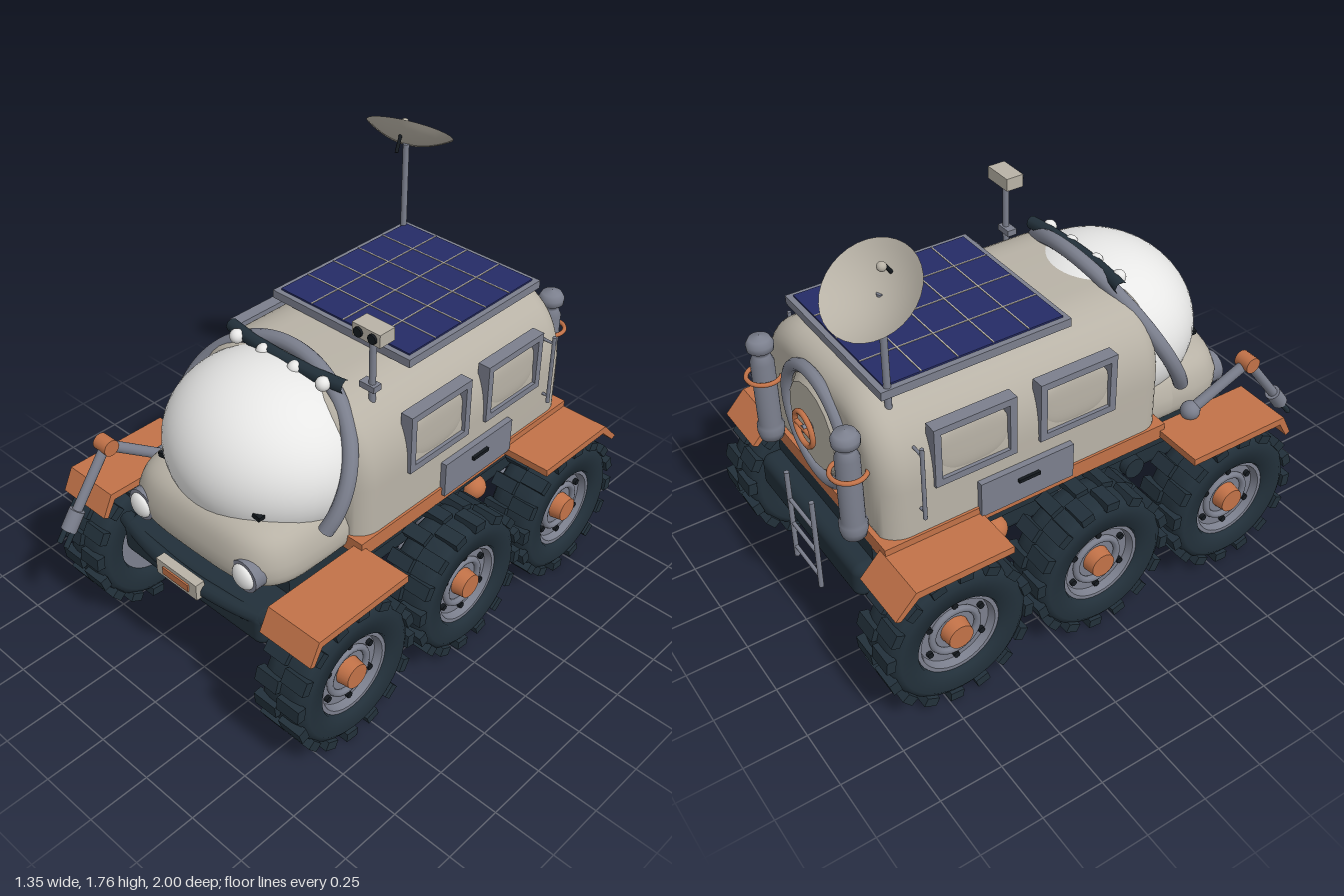
import * as THREE from 'three';
import { toCreasedNormals } from 'three/addons/utils/BufferGeometryUtils.js';
import { RoundedBoxGeometry } from 'three/addons/geometries/RoundedBoxGeometry.js';

const paint = (name, color, side = THREE.FrontSide) => {
  const m = new THREE.MeshStandardMaterial({ color, side });
  m.name = name;
  return m;
};
const V = (x, y, z) => new THREE.Vector3(x, y, z);

export function createModel() {
  const hull = paint('warm grey hull', 0xb8b2a6, THREE.DoubleSide);
  const white = paint('white canopy', 0xe9e9e8);
  const orange = paint('orange trim', 0xc27248);
  const steel = paint('blue grey metal', 0x7b7f8d);
  const dark = paint('dark rubber', 0x22303a);
  const black = paint('black detail', 0x14191e);
  const blue = paint('solar blue', 0x252c66);
  const root = new THREE.Group();

  const add = (name, geo, mat, x = 0, y = 0, z = 0, parent = root) => {
    const m = new THREE.Mesh(geo, mat);
    m.name = name;
    m.position.set(x, y, z);
    parent.add(m);
    return m;
  };
  const box = (name, w, h, d, mat, x, y, z, parent) => add(name, new THREE.BoxGeometry(w, h, d), mat, x, y, z, parent);
  const ball = (name, r, mat, x, y, z, parent) => add(name, new THREE.SphereGeometry(r, 20, 14), mat, x, y, z, parent);
  const rod = (name, a, b, r, mat, parent, r2 = r) => {
    const m = add(name, new THREE.CylinderGeometry(r2, r, a.distanceTo(b), 16), mat, 0, 0, 0, parent);
    m.position.copy(a).lerp(b, 0.5);
    m.quaternion.setFromUnitVectors(V(0, 1, 0), b.clone().sub(a).normalize());
    return m;
  };
  // Extrudes a (z, y) outline across x0..x1
  const slab = (name, pts, x0, x1, mat, hole) => {
    const s = new THREE.Shape(pts.map(p => new THREE.Vector2(...p)));
    if (hole) s.holes.push(new THREE.Path(hole.map(p => new THREE.Vector2(...p))));
    const g = new THREE.ExtrudeGeometry(s, { depth: x1 - x0, bevelEnabled: false });
    g.rotateY(-Math.PI / 2).translate(x1, 0, 0);
    return add(name, g, mat);
  };
  const rect = (z0, z1, y0, y1) => [[z0, y0], [z1, y0], [z1, y1], [z0, y1]];
  // Squared-off ellipsoid, narrowing towards its top
  const pillow = (rx, ry, rz, e, taper = 0) => {
    const g = new THREE.SphereGeometry(1, 48, 32), p = g.attributes.position;
    const f = v => Math.sign(v) * Math.abs(v) ** e;
    for (let i = 0; i < p.count; i++) {
      const y = p.getY(i), c = Math.sqrt(Math.max(1 - y * y, 1e-8)), ch = c ** e;
      const k = 1 - taper * Math.max(0, f(y));
      p.setXYZ(i, rx * k * ch * f(p.getX(i) / c), ry * f(y), rz * k * ch * f(p.getZ(i) / c));
    }
    g.computeVertexNormals();
    return g;
  };

  // Cabin: arched section with rounded ends
  const arch = new THREE.Shape();
  arch.moveTo(-0.36, 0.72);
  arch.lineTo(0.36, 0.72);
  arch.lineTo(0.36, 0.88);
  arch.bezierCurveTo(0.36, 1.02, 0.3, 1.107, 0.17, 1.107);
  arch.lineTo(-0.17, 1.107);
  arch.bezierCurveTo(-0.3, 1.107, -0.36, 1.02, -0.36, 0.88);
  const cabin = new THREE.ExtrudeGeometry(arch, { depth: 1.02, bevelThickness: 0.1, bevelSize: 0.1, bevelSegments: 8, curveSegments: 14 });
  add('cabin', toCreasedNormals(cabin, 0.6), hull, 0, 0, -0.76);
  add('nose', pillow(0.4, 0.147, 0.32, 0.5, 0.12), hull, 0, 0.715, 0.455);
  add('canopy', new THREE.SphereGeometry(1, 48, 32), white, 0, 0.92, 0.36).scale.set(0.41, 0.33, 0.385);

  // Tilted roll hoop around the canopy
  const hoop = [];
  for (let i = 0; i <= 24; i++) {
    const t = -0.33 + (i / 24) * (Math.PI + 0.66), s = Math.sin(t);
    hoop.push(V(0.43 * Math.cos(t), 0.9 + 0.36 * s, 0.42 - 0.19 * s));
  }
  add('rollHoop', new THREE.TubeGeometry(new THREE.CatmullRomCurve3(hoop), 64, 0.03, 12), steel);
  const barCurve = new THREE.QuadraticBezierCurve3(V(-0.29, 1.235, 0.26), V(0, 1.235, 0.31), V(0.29, 1.235, 0.26));
  add('lightBar', new THREE.TubeGeometry(barCurve, 20, 0.026, 8), dark);
  for (const x of [-0.22, -0.08, 0.08, 0.22]) ball('roofLight', 0.028, white, x, 1.235, 0.3);

  // Deck, chassis and bumper
  box('deck', 0.94, 0.065, 1.23, orange, 0, 0.645, -0.255);
  add('chassis', new RoundedBoxGeometry(0.78, 0.15, 1.74, 4, 0.04), dark, 0, 0.478, -0.08);
  box('chassisTop', 0.74, 0.08, 1.5, dark, 0, 0.58, -0.12);
  box('bellyPlate', 0.54, 0.08, 1.5, dark, 0, 0.38, -0.05);
  const bumper = new THREE.QuadraticBezierCurve3(V(-0.41, 0.52, 0.74), V(0, 0.52, 0.86), V(0.41, 0.52, 0.74));
  add('bumper', new THREE.TubeGeometry(bumper, 24, 0.032, 10), dark);
  box('frontPlate', 0.22, 0.07, 0.04, hull, 0, 0.535, 0.825);
  box('frontPlateInset', 0.14, 0.032, 0.008, orange, 0, 0.537, 0.848);

  // Tyre and rim profiles are turned about the axle
  const turned = (pts, n) => new THREE.LatheGeometry(pts.map(p => new THREE.Vector2(...p)), n).rotateZ(-Math.PI / 2);
  const tyreGeo = turned([[0.165, -0.07], [0.175, -0.1], [0.25, -0.108], [0.277, -0.09], [0.285, -0.05], [0.285, 0.05],
    [0.277, 0.09], [0.25, 0.108], [0.175, 0.1], [0.165, 0.05]], 48);
  const rimGeo = toCreasedNormals(turned([[0, -0.08], [0.17, -0.08], [0.17, 0.085], [0.155, 0.085], [0.145, 0.055], [0, 0.055]], 36), 0.5);
  const lugGeo = new THREE.BoxGeometry(0.106, 0.036, 0.055);
  const ringGeo = new THREE.TorusGeometry(0.095, 0.014, 8, 32).rotateY(Math.PI / 2);
  const capGeo = new THREE.CylinderGeometry(0.05, 0.057, 0.05, 24).rotateZ(-Math.PI / 2);
  const boltGeo = new THREE.CylinderGeometry(0.013, 0.013, 0.02, 8).rotateZ(-Math.PI / 2);
  const wheel = (side, z) => {
    const w = new THREE.Group();
    w.name = 'wheel';
    w.position.set(side * 0.553, 0.308, z);
    if (side < 0) w.rotation.y = Math.PI;
    root.add(w);
    add('tyre', tyreGeo, dark, 0, 0, 0, w);
    add('rim', rimGeo, steel, 0, 0, 0, w);
    add('rimRing', ringGeo, steel, 0.06, 0, 0, w);
    add('hubCap', capGeo, orange, 0.08, 0, 0, w);
    for (let i = 0; i < 32; i++) {
      const a = (i + 0.5) * Math.PI / 16;
      add('lug', lugGeo, dark, i % 2 ? 0.057 : -0.057, 0.288 * Math.cos(a), 0.288 * Math.sin(a), w).rotation.x = a;
    }
    for (let i = 0; i < 6; i++) {
      const a = i * Math.PI / 3;
      add('bolt', boltGeo, black, 0.06, 0.125 * Math.cos(a), 0.125 * Math.sin(a), w);
    }
  };

  for (const s of [-1, 1]) {
    // Running gear
    for (const z of [0.58, -0.06, -0.69]) {
      wheel(s, z);
      rod('axle', V(s * 0.31, 0.308, z), V(s * 0.49, 0.308, z), 0.03, steel);
      rod('strut', V(s * 0.42, 0.3, z), V(s * 0.4, 0.54, z), 0.026, steel);
    }
    rod('frontReservoir', V(s * 0.34, 0.47, 0.26), V(s * 0.43, 0.47, 0.26), 0.045, dark);
    ball('sideReservoir', 0.052, orange, s * 0.4, 0.47, -0.38);
    box('sideRail', 0.03, 0.03, 1.4, dark, s * 0.42, 0.565, -0.1);

    // Fenders with bent ends
    const [x0, x1] = s > 0 ? [0.43, 0.677] : [-0.677, -0.43];
    slab('frontFender', [[0.34, 0.62], [0.34, 0.65], [0.79, 0.65], [0.835, 0.56], [0.815, 0.55], [0.775, 0.62]], x0, x1, orange);
    slab('rearFender', [[-0.475, 0.62], [-0.475, 0.65], [-0.87, 0.65], [-0.955, 0.56], [-0.935, 0.55], [-0.86, 0.62]], x0, x1, orange);

    // Side windows, locker and grab rail
    for (const z of [-0.0575, -0.4925]) {
      const [a, b] = s > 0 ? [0.42, 0.474] : [-0.474, -0.42];
      slab('windowFrame', rect(z - 0.167, z + 0.167, 0.86, 1.11), a, b, steel, rect(z - 0.139, z + 0.139, 0.888, 1.082));
      add('windowPane', pillow(0.02, 0.105, 0.145, 0.7), hull, s * 0.446, 0.985, z);
    }
    box('locker', 0.05, 0.15, 0.4, steel, s * 0.46, 0.72, -0.285);
    box('lockerHandle', 0.015, 0.014, 0.09, black, s * 0.49, 0.742, -0.285);
    rod('grabRail', V(s * 0.487, 0.76, -0.715), V(s * 0.487, 1.07, -0.715), 0.008, steel);
    for (const y of [0.79, 1.04]) rod('grabRailMount', V(s * 0.43, y, -0.715), V(s * 0.487, y, -0.715), 0.006, steel);

    // Headlights and wipers
    rod('headlightRing', V(s * 0.28, 0.675, 0.66), V(s * 0.28, 0.675, 0.765), 0.066, steel);
    add('headlightLens', new THREE.SphereGeometry(0.052, 24, 16), white, s * 0.28, 0.675, 0.765).scale.z = 0.5;
    box('wiper', 0.06, 0.02, 0.04, black, s * 0.24, 0.873, 0.65).rotation.z = -s * 0.2;

    // Rear gas tanks
    const tank = [[0, 0.66], [0.045, 0.67], [0.052, 0.7], [0.052, 0.73], [0.045, 0.74], [0.045, 1.02], [0.032, 1.05],
      [0.03, 1.06], [0.05, 1.075], [0.052, 1.1], [0.04, 1.122], [0, 1.133]].map(p => new THREE.Vector2(...p));
    add('gasTank', new THREE.LatheGeometry(tank, 24), steel, s * 0.325, 0, -0.91);
    add('tankStrap', new THREE.TorusGeometry(0.066, 0.009, 8, 28).rotateX(Math.PI / 2), orange, s * 0.325, 0.955, -0.91);
    rod('ladderRail', V(s * 0.1, 0.25, -0.962), V(s * 0.1, 0.67, -0.962), 0.01, steel);
  }
  for (const y of [0.3, 0.42, 0.54]) rod('ladderRung', V(-0.1, y, -0.962), V(0.1, y, -0.962), 0.008, steel);

  // Rear hatch with handwheel
  add('hatchRing', new THREE.TorusGeometry(0.225, 0.025, 10, 48), steel, 0, 0.92, -0.865);
  rod('hatchDoor', V(0, 0.92, -0.84), V(0, 0.92, -0.885), 0.22, hull, root, 0.17);
  add('handwheel', new THREE.TorusGeometry(0.068, 0.011, 8, 28), orange, 0, 0.92, -0.915);
  rod('handwheelBar', V(-0.068, 0.92, -0.915), V(0.068, 0.92, -0.915), 0.009, orange);
  rod('handwheelShaft', V(0, 0.92, -0.87), V(0, 0.92, -0.92), 0.015, steel);

  // Solar panel with cell lines
  box('panelFrame', 0.7, 0.034, 0.77, steel, 0, 1.225, -0.395);
  box('panelCells', 0.655, 0.008, 0.725, blue, 0, 1.245, -0.395);
  for (const x of [-0.164, 0, 0.164]) box('cellLine', 0.005, 0.003, 0.725, hull, x, 1.25, -0.395);
  for (let i = 1; i < 5; i++) box('cellLine', 0.655, 0.003, 0.005, hull, 0, 1.25, -0.7575 + i * 0.145);

  // Camera mast
  rod('cameraMast', V(0.335, 1.12, 0.17), V(0.335, 1.43, 0.17), 0.013, steel);
  box('cameraFoot', 0.07, 0.025, 0.04, steel, 0.325, 1.215, 0.17);
  box('cameraHead', 0.13, 0.052, 0.075, hull, 0.335, 1.445, 0.17);
  for (const x of [0.302, 0.368]) rod('cameraLens', V(x, 1.445, 0.19), V(x, 1.445, 0.217), 0.019, black);

  // Dish antenna, opening upwards and back
  rod('dishMast', V(-0.33, 1.15, -0.745), V(-0.33, 1.61, -0.745), 0.013, steel);
  const bowl = [];
  for (let i = 0; i <= 8; i++) bowl.push(new THREE.Vector2(0.18 * i / 8, 0.06 * (i / 8) ** 2));
  const dish = add('dish', new THREE.LatheGeometry(bowl, 32), hull, -0.338, 1.602, -0.755);
  dish.quaternion.setFromUnitVectors(V(0, 1, 0), V(-0.2, 0.8, -0.56).normalize());
  rod('dishFeed', V(-0.328, 1.7, -0.72), V(-0.304, 1.61, -0.657), 0.007, black);
  ball('dishFeedTip', 0.017, hull, -0.332, 1.705, -0.735);

  // Jointed sampling arm on the right side
  ball('armBase', 0.04, steel, -0.455, 0.67, 0.5);
  rod('upperArm', V(-0.455, 0.67, 0.5), V(-0.495, 0.825, 0.735), 0.022, steel);
  rod('elbow', V(-0.53, 0.83, 0.74), V(-0.46, 0.83, 0.74), 0.034, orange);
  rod('forearm', V(-0.495, 0.825, 0.745), V(-0.495, 0.59, 0.92), 0.02, steel);
  rod('wrist', V(-0.495, 0.61, 0.905), V(-0.495, 0.54, 0.955), 0.032, steel);
  for (const x of [-0.515, -0.475]) rod('gripperFinger', V(x, 0.55, 0.945), V(x, 0.488, 0.99), 0.011, dark);

  return root;
}
